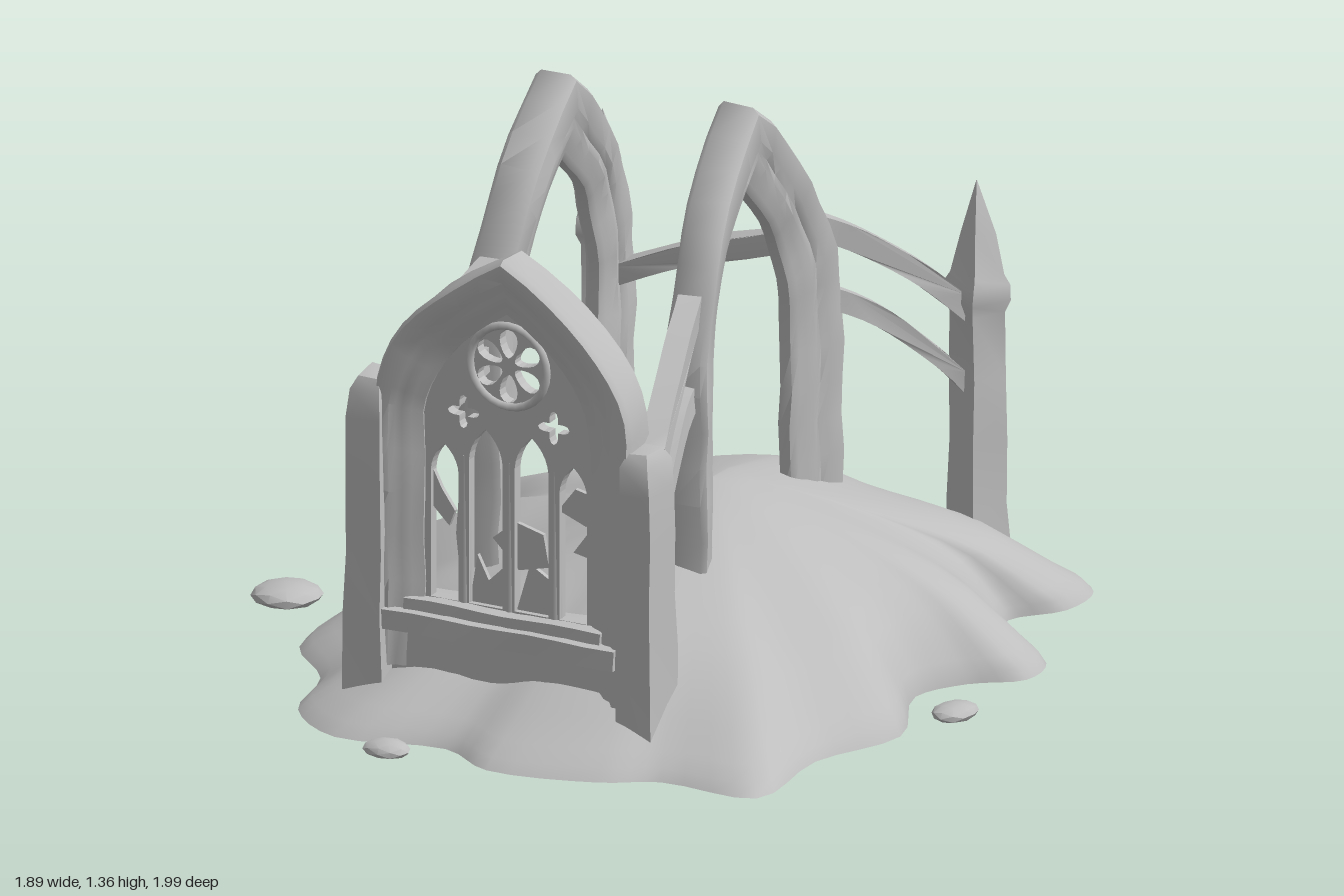
import * as THREE from 'three';
import { toCreasedNormals } from 'three/addons/utils/BufferGeometryUtils.js';

const V2 = (x, y) => new THREE.Vector2(x, y);

export function createModel() {
  const root = new THREE.Group();
  root.name = 'ruinedGothicChapel';
  const stone = new THREE.MeshStandardMaterial({ color: 0xbebebe });
  stone.name = 'stone';

  const add = (name, geo) => {
    const m = new THREE.Mesh(geo, stone);
    m.name = name;
    root.add(m);
  };

  // Weathering: gentle wobble that depends only on position, so seams stay closed
  const weather = (geo, amount = 0.004, crease = 0.75) => {
    const p = geo.attributes.position;
    for (let i = 0; i < p.count; i++) {
      const x = p.getX(i), y = p.getY(i), z = p.getZ(i);
      p.setXYZ(i,
        x + amount * Math.sin(y * 23 + z * 17),
        y + amount * Math.sin(x * 19 + z * 25),
        z + amount * Math.sin(y * 21 + x * 15));
    }
    return toCreasedNormals(geo, crease);
  };

  const extrude = (shape, depth) =>
    new THREE.ExtrudeGeometry(shape, { depth, bevelEnabled: false, curveSegments: 10 })
      .translate(0, 0, -depth / 2);

  const mesh = (pos, idx) => {
    const g = new THREE.BufferGeometry();
    g.setAttribute('position', new THREE.Float32BufferAttribute(pos, 3));
    g.setIndex(idx);
    return g;
  };

  // Pointed arch outline, from lower right over the apex to lower left
  const archLine = (w, base, spring, apex, cx = 0, n = 9) => {
    const pts = [];
    for (let i = 0; i < 6; i++) pts.push(V2(w, base + (spring - base) * i / 6));
    const c = new THREE.QuadraticBezierCurve(
      V2(w, spring), V2(w * 0.93, spring + (apex - spring) * 0.58), V2(0, apex));
    const side = pts.concat(c.getPoints(n));
    const other = side.slice(0, -1).reverse().map(p => V2(-p.x, p.y));
    return side.concat(other).map(p => V2(p.x + cx, p.y));
  };

  // Moulded arch: a section of [share of the way inwards, half depth] run along the arch
  const mouldedArch = (outer, inner, section) => {
    const loop = section.concat(section.map(([u, z]) => [u, -z]).reverse());
    const K = loop.length, pos = [], idx = [];
    outer.forEach((o, i) => loop.forEach(([u, z]) => {
      const p = o.clone().lerp(inner[i], u);
      pos.push(p.x, p.y, z);
    }));
    for (let i = 0; i < outer.length - 1; i++) for (let k = 0; k < K; k++) {
      const a = i * K + k, b = i * K + (k + 1) % K;
      idx.push(a, a + K, b, b, a + K, b + K);
    }
    return mesh(pos, idx);
  };

  // ---- Mound: rings that go from a round summit to a lobed rim
  const outline = [[-.30, -.99], [-.13, -.91], [.03, -.98], [.23, -.99], [.37, -.87], [.69, -.84], [.80, -.77],
    [.80, -.63], [.71, -.51], [.77, -.39], [.92, -.30], [.93, -.18], [.82, -.09], [.75, .04], [.84, .29],
    [.74, .53], [.73, .81], [.48, .82], [.35, .89], [.08, .94], [-.07, .86], [-.34, .91], [-.50, .79],
    [-.55, .58], [-.69, .42], [-.71, .13], [-.84, -.16], [-.84, -.31], [-.69, -.40], [-.76, -.74], [-.55, -.86]];
  const rim = new THREE.CatmullRomCurve3(outline.map(([x, z]) => new THREE.Vector3(x, 0, z)), true)
    .getPoints(124).slice(0, -1);
  const slope = [[0, .395], [.1, .388], [.22, .362], [.34, .33], [.45, .292], [.56, .245], [.66, .203],
    [.76, .158], [.85, .105], [.93, .055], [.975, .028], [1, 0]];
  const N = rim.length, cx = 0.13, cz = -0.1, pos = [], idx = [];
  slope.forEach(([t, h]) => rim.forEach(p => {
    const dx = p.x - cx, dz = p.z - cz, d = Math.hypot(dx, dz);
    const even = 1 / Math.hypot(dx / d / 0.84, dz / d / 0.98);
    const r = t * THREE.MathUtils.lerp(even, d, t * t) / d;
    const x = cx + dx * r, z = cz + dz * r;
    const lump = 1 + t * 0.12 * Math.sin(x * 8 + z * 4) * Math.cos(z * 7 - x * 3);
    const sag = 1 - 0.12 * Math.max(0, -dx / d) * Math.sin(Math.PI * t);
    pos.push(x, h * lump * sag, z);
  }));
  for (let r = 0; r < slope.length - 1; r++) for (let j = 0; j < N; j++) {
    const k = (j + 1) % N, a = r * N + j, b = r * N + k, c = a + N, d = b + N;
    idx.push(a, d, c);
    if (r > 0) idx.push(a, b, d);
  }
  // flat underside
  const start = pos.length / 3;
  rim.forEach(p => pos.push(p.x, 0, p.z));
  pos.push(cx, 0, cz);
  for (let j = 0; j < N; j++) idx.push(start + N, start + j, start + (j + 1) % N);
  const mound = mesh(pos, idx);
  mound.computeVertexNormals();
  add('mound', mound);

  // ---- Loose stones beside the mound, flat underneath
  [[-.865, .15, .085, .09, .044], [.885, .1, .052, .07, .032], [-.18, .95, .058, .044, .032]]
    .forEach(([x, z, sx, sz, h], i) => {
      const g = new THREE.IcosahedronGeometry(1, 1).scale(sx, h * 0.75, sz).translate(x, h * 0.25, z);
      weather(g, 0.004);
      const p = g.attributes.position;
      for (let k = 0; k < p.count; k++) p.setY(k, Math.max(0, p.getY(k)));
      add('looseStone' + i, toCreasedNormals(g, 0.5));
    });

  // ---- Two nave arches, bowed slightly outwards in plan
  const naveSection = [[0, .04], [.07, .055], [.4, .053], [.5, .04], [.62, .042], [.74, .03], [.9, .026], [1, .014]];
  [[.215, .035, 'left'], [-.272, -.025, 'right']].forEach(([x0, bow, side]) => {
    const g = mouldedArch(archLine(.355, .2, .75, 1.352), archLine(.205, .2, .75, 1.14), naveSection)
      .rotateY(Math.PI / 2).translate(x0, 0, -0.09);
    const p = g.attributes.position;
    for (let i = 0; i < p.count; i++) {
      const k = (p.getZ(i) + 0.09) / 0.33;
      p.setX(i, p.getX(i) + bow * k * k);
    }
    add(side + 'NaveArch', weather(g));
  });

  // ---- Square posts turned from a four-sided profile
  const post = (name, profile, x, z, turn, sx = 1, sz = 1) => {
    const g = new THREE.LatheGeometry(profile.map(([r, y]) => V2(r * Math.SQRT2, y)), 4, Math.PI / 4)
      .scale(sx, 1, sz).rotateY(turn).translate(x, 0, z);
    add(name, weather(g.toNonIndexed()));
  };
  const pinnacle = [[.055, .06], [.052, .2], [.047, .36], [.05, .52], [.045, .68], [.056, .71], [.057, .75],
    [.047, .775], [.03, .88], [0.0005, 1.01]];
  post('rightBackPinnacle', pinnacle, -.48, -.73, 0.33);
  post('leftBackPinnacle', pinnacle, .52, -.715, -0.45);
  const pier = top => [[0.0005, .06], [.05, .06], [.048, .25], [.043, .4], [.045, .55], [.042, top - .1],
    [.038, top - .03], [.026, top], [0.0005, top + .005]];
  post('rightFrontPier', pier(.84), -.355, .672, 0, 1.05, 1.5);
  post('leftFrontPier', pier(.77), .365, .672, 0, .95, 1.5);

  // ---- Flying struts: a bowed band standing between two points
  const strut = (name, [xa, ya, za], [xb, yb, zb], rise, h, width) => {
    const L = Math.hypot(xb - xa, zb - za), ym = (ya + yb) / 2 + rise;
    const s = new THREE.Shape();
    s.moveTo(0, ya - h);
    s.quadraticCurveTo(L / 2, ym - h, L, yb - h);
    s.lineTo(L, yb + h);
    s.quadraticCurveTo(L / 2, ym + h, 0, ya + h);
    const g = extrude(s, width).rotateY(-Math.atan2(zb - za, xb - xa)).translate(xa, 0, za);
    add(name, weather(g, 0.003));
  };
  [['right', [-.295, -.40], [-.465, -.695], [-.29, .22], [-.325, .64]],
    ['left', [.25, -.40], [.495, -.685], [.24, .22], [.365, .64]]].forEach(([side, a, b, c, d]) => {
    strut(side + 'BackUpperStrut', [a[0], .95, a[1]], [b[0], .70, b[1]], .05, .033, .052);
    strut(side + 'BackLowerStrut', [a[0], .78, a[1]], [b[0], .51, b[1]], .08, .029, .048);
    strut(side + 'FrontUpperStrut', [c[0], .95, c[1]], [d[0], .73, d[1]], .04, .034, .058);
    strut(side + 'FrontLowerStrut', [c[0], .75, c[1]], [d[0], .52, d[1]], .09, .03, .052);
  });
  strut('crossBeam', [.24, .92, -.4], [-.28, .74, -.39], .03, .028, .055);

  // ---- Facade arch with a deep splay towards the window
  const facadeSection = [[0, .045], [.07, .06], [.38, .058], [.48, .046], [.62, .044], [.78, .032], [1, .02]];
  add('facadeArch', weather(mouldedArch(archLine(.345, .12, .79, 1.19), archLine(.222, .12, .76, 1.045),
    facadeSection), 0.003).translate(0, 0, .66));
  const slab = (name, w, h, d, y, z) =>
    add(name, weather(new THREE.BoxGeometry(w, h, d, 8, 1, 1).translate(0, y, z), 0.003));
  slab('facadePlinth', .6, .17, .08, .145, .655);
  slab('windowSill', .62, .05, .14, .245, .665);
  slab('windowStep', .52, .035, .1, .28, .66);

  // ---- Tracery: one pierced panel with lancets, quatrefoils and a rose
  const panel = new THREE.Shape(archLine(.235, .28, .76, 1.055));
  const pierce = pts => panel.holes.push(new THREE.Path(pts));
  [[-.17, .037, .62, .69], [-.061, .045, .66, .745], [.061, .045, .66, .745], [.172, .037, .62, .69]]
    .forEach(([x, w, spring, apex]) => pierce(archLine(w, .3, spring, apex, x, 5)));
  const loop = (n, f) => Array.from({ length: n }, (_, i) => f(i * Math.PI * 2 / n));
  [-.12, .12].forEach(x => pierce(loop(32, a => {
    const r = .029 + .013 * Math.cos(4 * a);
    return V2(x + r * Math.cos(a), .78 + r * Math.sin(a));
  })));
  for (let k = 0; k < 6; k++) {
    const t = k * Math.PI / 3 + Math.PI / 6;
    pierce(loop(14, a => {
      const u = .056 + .036 * Math.cos(a), v = .023 * Math.sin(a) * (1 + .3 * Math.cos(a));
      return V2(u * Math.cos(t) - v * Math.sin(t), .915 + u * Math.sin(t) + v * Math.cos(t));
    }));
  }
  add('windowTracery', extrude(panel, .03).translate(0, 0, .66));
  add('roseRing', new THREE.TorusGeometry(.102, .01, 6, 28).translate(0, .915, .675));
  [-.12, 0, .12].forEach((x, i) => add('mullion' + i,
    new THREE.CylinderGeometry(.014, .017, .38, 8).translate(x, .48, .662)));

  // ---- Broken pane fragments caught in the lancets
  [[[-.215, .63], [-.215, .53], [-.165, .48], [-.15, .52], [-.185, .57]],
    [[.125, .57], [.2, .54], [.215, .62], [.17, .63]],
    [[.165, .47], [.215, .46], [.215, .54]],
    [[-.11, .3], [-.02, .3], [-.02, .4], [-.06, .36], [-.09, .42]],
    [[-.05, .47], [.02, .4], [.1, .42], [.085, .5], [.01, .52]],
    [[.015, .3], [.1, .3], [.1, .39], [.05, .42]]].forEach((pts, i) =>
    add('paneFragment' + i, extrude(new THREE.Shape(pts.map(p => V2(...p))), .012).translate(0, 0, .655)));

  return root;
}
